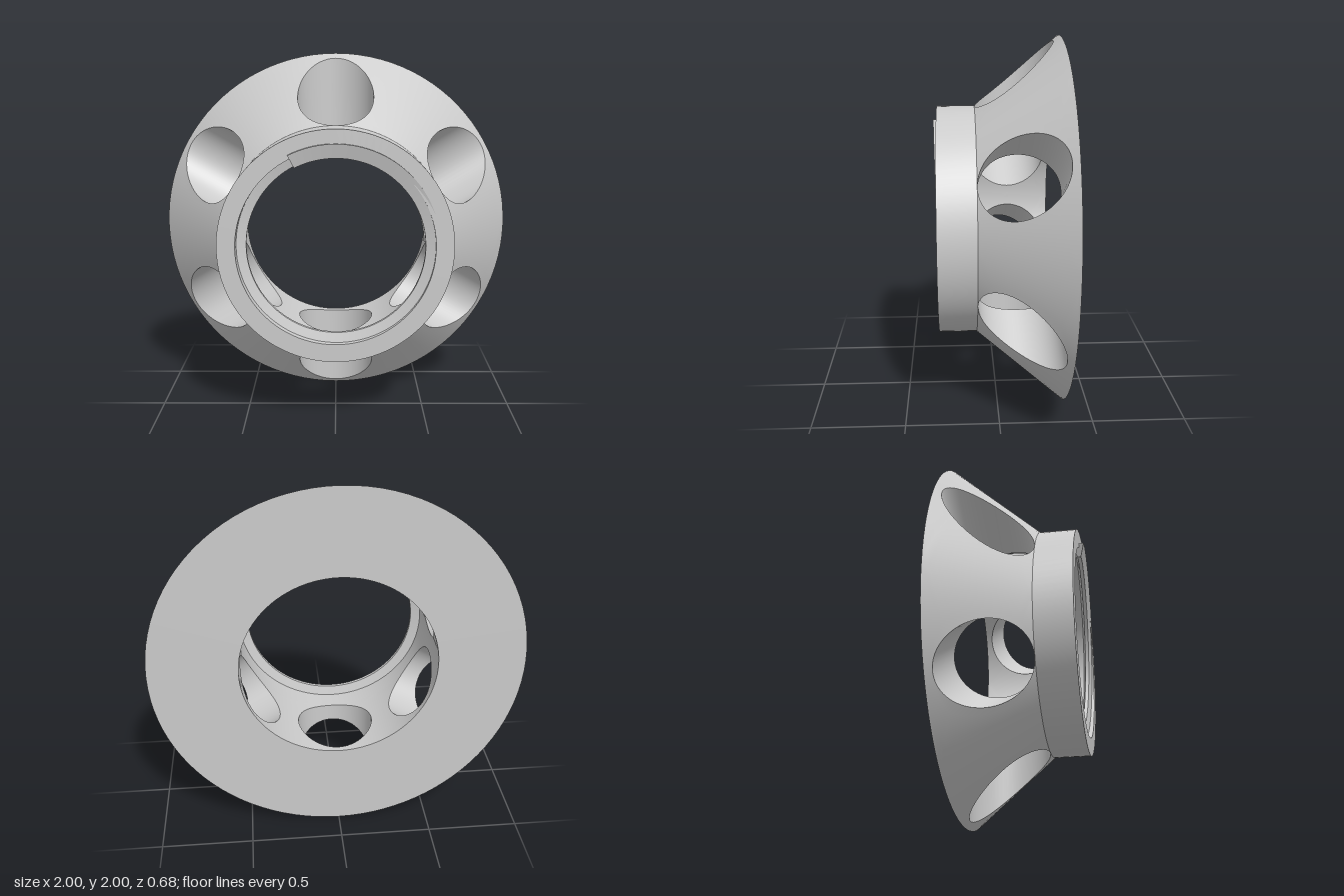
import * as THREE from 'three';
import { mergeGeometries, toCreasedNormals } from 'three/addons/utils/BufferGeometryUtils.js';

const BORE = 0.527, COLLAR = 0.625, RIM = 1;          // radii
const BACK = -0.342, NECK = 0.113, FRONT = 0.315;     // z stations
const HOLE_R = 0.21, HOLE_Z = -0.098, HOLES = 6;
const SIDE = 16;                                       // segments per sector side

// Surface grid; faces point along du x dv unless flipped
function grid(nu, nv, fn, flip = false) {
  const pos = [], idx = [];
  for (let i = 0; i <= nu; i++) for (let j = 0; j <= nv; j++) pos.push(...fn(i, j));
  for (let i = 0; i < nu; i++) for (let j = 0; j < nv; j++) {
    const a = i * (nv + 1) + j, b = a + nv + 1;
    if (flip) idx.push(a, a + 1, b, b, a + 1, b + 1);
    else idx.push(a, b, a + 1, b, b + 1, a + 1);
  }
  const g = new THREE.BufferGeometry();
  g.setAttribute('position', new THREE.Float32BufferAttribute(pos, 3));
  g.setIndex(idx);
  return g;
}

const coneRadius = z => RIM + (COLLAR - RIM) * (z - BACK) / (NECK - BACK);
const boreRadius = () => BORE;

// Point i on the perimeter of the square [-1,1]^2, counter-clockwise
function square(i) {
  const side = Math.floor(i / SIDE) % 4, t = 2 * (i % SIDE) / SIDE - 1;
  return [[1, t], [-t, 1], [-1, -t], [t, -1]][side];
}

// Edge of a radial hole where it meets a surface of revolution: [angle, z]
function holeEdge(i, radius) {
  const [sx, sz] = square(i), phi = Math.atan2(sz, sx);
  const z = HOLE_Z + HOLE_R * Math.sin(phi);
  return [Math.asin(HOLE_R * Math.cos(phi) / radius(z)), z];
}

const onSurface = (a, z, r) => [r * Math.sin(a), r * Math.cos(a), z];

// One sector of wall, lofted from the hole edge out to the sector border
function wallSector(radius, flip) {
  const rings = 6;
  return grid(4 * SIDE, rings, (i, j) => {
    const [a0, z0] = holeEdge(i, radius), [sx, sz] = square(i), t = j / rings;
    const a1 = sx * Math.PI / HOLES;
    const z1 = HOLE_Z + sz * (sz > 0 ? NECK - HOLE_Z : HOLE_Z - BACK);
    const z = z0 + (z1 - z0) * t;
    return onSurface(a0 + (a1 - a0) * t, z, radius(z));
  }, flip);
}

// Lining of one hole, from the bore to the cone
function holeLining() {
  return grid(4 * SIDE, 1, (i, j) => {
    const radius = j ? coneRadius : boreRadius;
    const [a, z] = holeEdge(i, radius);
    return onSurface(a, z, radius(z));
  });
}

// Repeat a sector around the z axis
function around(geometry) {
  const copies = [];
  for (let k = 0; k < HOLES; k++) copies.push(geometry.clone().rotateZ(k * 2 * Math.PI / HOLES));
  return mergeGeometries(copies);
}

// Helical thread with a trapezoid section and capped ends
function threadGeometry() {
  const steps = 140, turns = 1.32, pitch = 0.1, start = THREE.MathUtils.degToRad(116.5);
  const profile = [[0.55, 0.03], [0.475, 0.01], [0.475, -0.01], [0.55, -0.03], [0.55, 0.03]];
  const at = (i, [r, dz]) => {
    const t = turns * i / steps, a = start - t * 2 * Math.PI;
    return [r * Math.cos(a), r * Math.sin(a), 0.312 - pitch * t + dz];
  };
  const cap = (step, flip) => grid(1, 1, (i, j) => at(step, profile[i ? 3 - j : j]), flip);
  return mergeGeometries([
    grid(steps, 4, (i, j) => at(i, profile[j]), true),
    cap(0, false), cap(steps, true),
  ]);
}

export function createModel() {
  const model = new THREE.Group();
  model.name = 'flaredThreadedRing';
  const material = new THREE.MeshStandardMaterial({ color: 0xcccccc });
  const add = (name, geometry) => {
    const mesh = new THREE.Mesh(toCreasedNormals(geometry, 0.5), material);
    mesh.name = name;
    mesh.position.y = 1;
    model.add(mesh);
  };

  // Flared body with six radial holes
  add('flaredWall', around(wallSector(coneRadius, false)));
  add('boreWall', around(wallSector(boreRadius, true)));
  add('holeLinings', around(holeLining()));

  // Flat back face
  add('backFace', new THREE.RingGeometry(BORE, RIM, 96).rotateY(Math.PI).translate(0, 0, BACK));

  // Short front collar
  const collar = [[COLLAR, NECK], [COLLAR, FRONT], [BORE, FRONT], [BORE, NECK]];
  add('collar', new THREE.LatheGeometry(collar.map(p => new THREE.Vector2(...p)), 96).rotateX(Math.PI / 2));

  // Internal screw thread
  add('thread', threadGeometry());
  return model;
}
